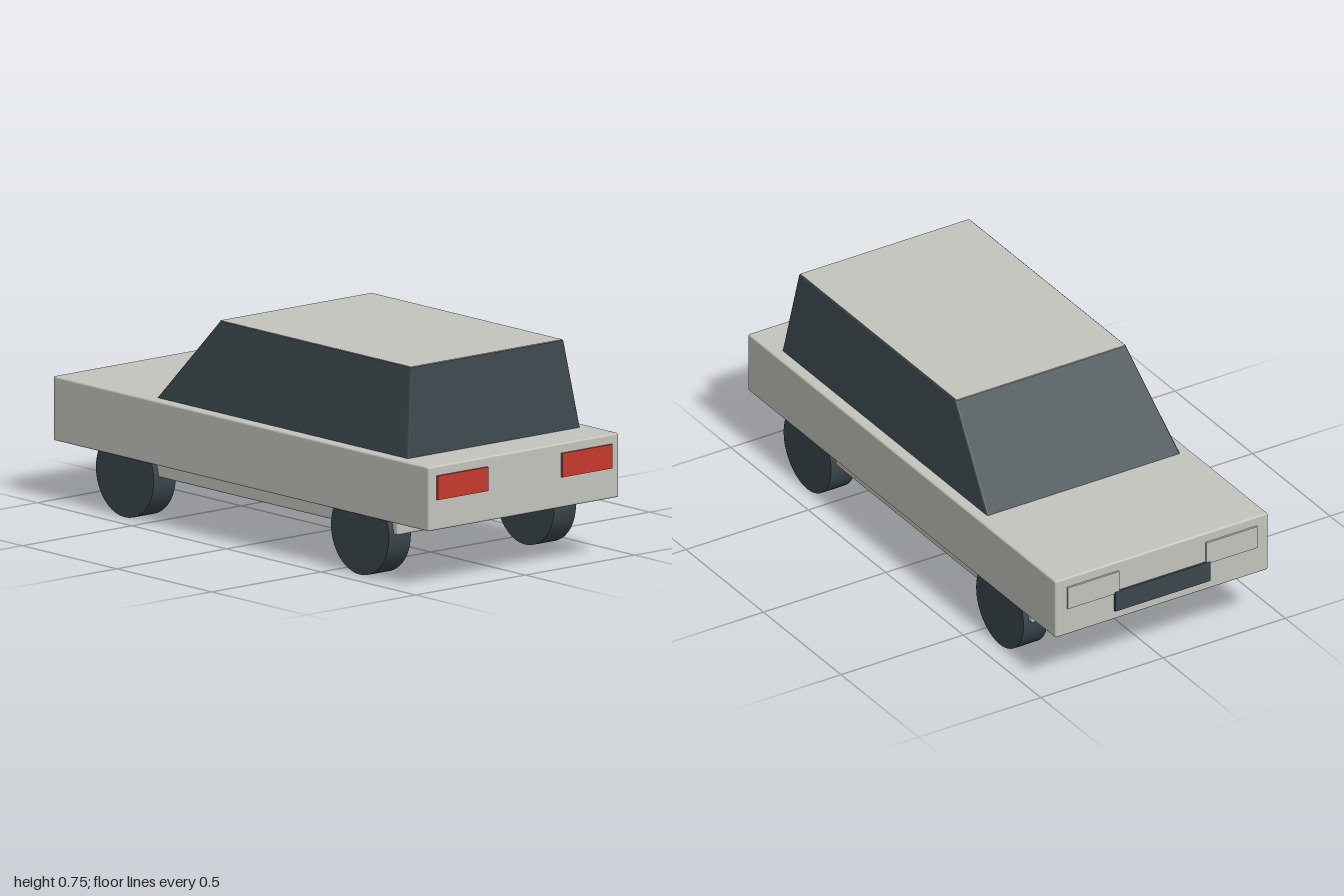
import * as THREE from 'three';
import { RoundedBoxGeometry } from 'three/addons/geometries/RoundedBoxGeometry.js';

export function createModel() {
  const car = new THREE.Group();
  car.name = 'car';

  const material = (name, color) => {
    const m = new THREE.MeshStandardMaterial({ color });
    m.name = name;
    return m;
  };
  const silver = material('silver paint', 0xc4c4be);
  const dark = material('dark glass and rubber', 0x3b474c);
  const red = material('red lamp', 0xc8392b);

  const add = (name, geometry, mat, x, y, z) => {
    const mesh = new THREE.Mesh(geometry, mat);
    mesh.name = name;
    mesh.position.set(x, y, z);
    car.add(mesh);
    return mesh;
  };

  // Main slab and the narrower chassis below it
  add('body', new RoundedBoxGeometry(0.87, 0.227, 1.984, 2, 0.007), silver, 0, 0.3265, 0);
  add('chassis', new RoundedBoxGeometry(0.81, 0.07, 1.586, 2, 0.007), silver, 0, 0.198, 0);

  // Cabin: a unit box tapered towards the roof, windscreen sloping at -z
  const cabin = new RoundedBoxGeometry(1, 1, 1, 2, 0.008);
  const p = cabin.attributes.position;
  const lerp = THREE.MathUtils.lerp;
  for (let i = 0; i < p.count; i++) {
    const t = p.getY(i) + 0.5;
    p.setXYZ(
      i,
      p.getX(i) * lerp(0.79, 0.698, t),
      lerp(0.436, 0.749, t),
      lerp(lerp(-0.493, -0.21, t), lerp(0.836, 0.8, t), p.getZ(i) + 0.5)
    );
  }
  cabin.computeVertexNormals();
  add('cabin', cabin, dark, 0, 0, 0);
  add('roof', new THREE.BoxGeometry(0.69, 0.004, 1.008), silver, 0, 0.749, 0.292);

  // Grille between the headlamps
  add('grille', new THREE.BoxGeometry(0.39, 0.078, 0.009), dark, 0, 0.287, -0.9955);

  for (const side of [-1, 1]) {
    // Lamps at both ends
    add('tailLamp', new THREE.BoxGeometry(0.23, 0.085, 0.009), red, side * 0.284, 0.3635, 0.9955);
    add('headLamp', new THREE.BoxGeometry(0.21, 0.085, 0.008), silver, side * 0.283, 0.3615, -0.995);

    // Wheels
    for (const end of [-1, 1]) {
      const tyre = new THREE.CylinderGeometry(0.153, 0.153, 0.1, 40).rotateZ(Math.PI / 2);
      add('wheel', tyre, dark, side * 0.377, 0.153, end * 0.621);
    }
  }

  return car;
}
